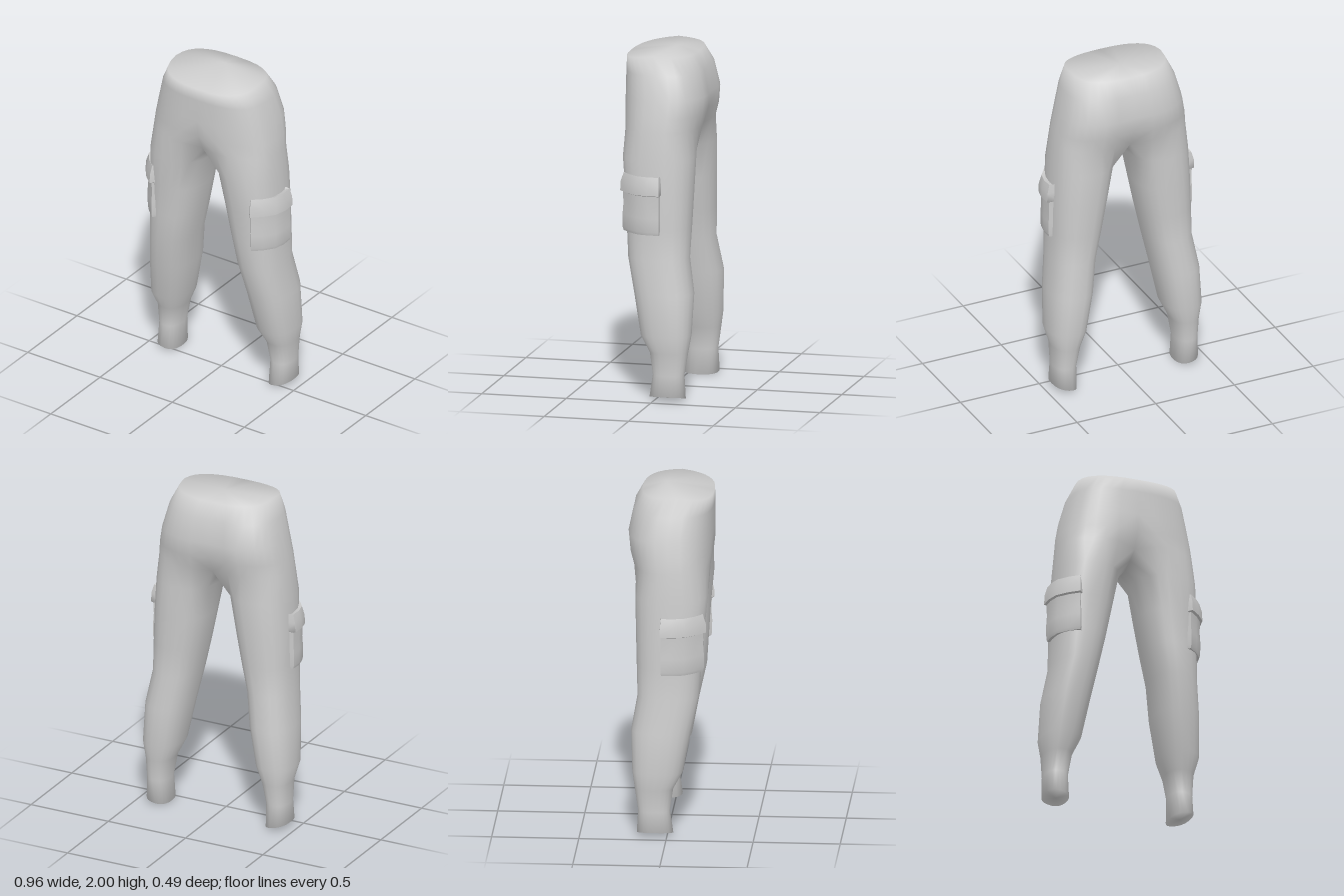
import * as THREE from 'three';
import { mergeVertices, mergeGeometries, toCreasedNormals } from 'three/addons/utils/BufferGeometryUtils.js';

const M = 16;             // segments around the outer side of one half
const K = 4;              // extra points along the inner leg
const SPREAD = Math.PI / 4;

// Rounded-square curve: 0 is the front, a quarter turn is the outer side.
const bend = (v, e) => Math.sign(v) * Math.abs(v) ** e;

// Waist to crotch: y, half width, back z, front z, front dip, back dip
const torsoRows = [
  [1.97, 0.29, -0.165, 0.245, 0, 0],
  [1.88, 0.336, -0.218, 0.245, 0, 0.01],
  [1.74, 0.372, -0.248, 0.245, 0, 0.02],
  [1.64, 0.392, -0.238, 0.245, 0.01, 0.03],
  [1.56, 0.404, -0.216, 0.24, 0.05, 0.05],
];

// Thigh to ankle: y, inner x, outer x, back z, front z
const legRows = [
  [1.40, 0.052, 0.420, -0.193, 0.226],
  [1.20, 0.09, 0.43, -0.188, 0.206],
  [1.00, 0.13, 0.435, -0.182, 0.192],
  [0.82, 0.17, 0.438, -0.176, 0.18],
  [0.62, 0.205, 0.468, -0.21, 0.136],
  [0.38, 0.25, 0.48, -0.202, 0.09],
  [0.28, 0.295, 0.458, -0.187, 0.035],
  [0.15, 0.317, 0.453, -0.167, 0.015],
  [0.015, 0.315, 0.455, -0.175, 0.035],
];

function torsoRing([y, w, zb, zf, frontDip, backDip], isWaist, isCrotch) {
  const ring = [];
  for (let i = 0; i <= M; i++) {
    const t = (i / M) * Math.PI;
    const x = i % M === 0 ? 0 : w * bend(Math.sin(t), 0.75);
    const c = bend(Math.cos(t), 0.75);
    const middle = Math.exp(-((x / 0.08) ** 2));
    const z = (zf + zb) / 2 + c * ((zf - zb) / 2 - middle * (c > 0 ? frontDip : backDip));
    let py = y;
    if (isWaist) py = 1.985 - 0.03 * Math.max(0, c) - 0.012 * Math.max(0, -c);
    if (isCrotch) py -= 0.02 * middle;
    ring.push([x, py, z]);
  }
  return ring;
}

function legRing([y, xin, xout, zb, zf], isHem) {
  const ring = [];
  for (let i = 0; i <= M + K; i++) {
    const t = i <= M
      ? -SPREAD + (i / M) * (Math.PI + 2 * SPREAD)
      : Math.PI + SPREAD + ((i - M) / (K + 1)) * (Math.PI - 2 * SPREAD);
    const s = bend(Math.sin(t), 0.85), c = bend(Math.cos(t), 0.85);
    ring.push([
      (xin + xout) / 2 + (s * (xout - xin)) / 2,
      isHem ? y + 0.014 * s : y,
      (zb + zf) / 2 + (c * (zf - zb)) / 2,
    ]);
  }
  return ring;
}

// Collects triangles and can mirror them in x.
function surface(tris, mirrored) {
  const pos = [];
  for (const tri of tris) {
    const order = mirrored ? [tri[0], tri[2], tri[1]] : tri;
    for (const [x, y, z] of order) pos.push(mirrored ? -x : x, y, z);
  }
  const geo = new THREE.BufferGeometry();
  geo.setAttribute('position', new THREE.Float32BufferAttribute(pos, 3));
  return geo;
}

function loft(rings, closed, tris = []) {
  for (let r = 0; r + 1 < rings.length; r++) {
    const a = rings[r], b = rings[r + 1], n = a.length;
    for (let i = 0; i < (closed ? n : n - 1); i++) {
      const j = (i + 1) % n;
      tris.push([a[i], b[i], b[j]], [a[i], b[j], a[j]]);
    }
  }
  return tris;
}

// One half of the trousers: hip, leg and the two end caps.
function halfTriangles() {
  const hips = torsoRows.map((row, r) => torsoRing(row, r === 0, r === torsoRows.length - 1));
  const tris = loft(hips, false);

  // the crotch seam closes the last hip ring into the top of the leg
  const top = hips[hips.length - 1].slice();
  const front = top[0], back = top[M];
  for (let k = 1; k <= K; k++) {
    const f = k / (K + 1);
    top.push([0, front[1] - 0.075 * Math.sin(f * Math.PI), back[2] + (front[2] - back[2]) * f]);
  }
  const legs = legRows.map((row, r) => legRing(row, r === legRows.length - 1));
  loft([top, ...legs], true, tris);

  const waist = hips[0], hem = legs[legs.length - 1];
  const waistMid = [0, 2, -0.03], hemMid = [0.385, 0.012, -0.07];
  for (let i = 0; i < M; i++) tris.push([waistMid, waist[i], waist[i + 1]]);
  hem.forEach((p, i) => tris.push([hemMid, hem[(i + 1) % hem.length], p]));
  return tris;
}

// Pocket outline in plan (x, z), wrapping from the thigh front to its side
const pocketPath = [
  [0.31, 0.17], [0.345, 0.212], [0.4, 0.163], [0.448, 0.1],
  [0.463, 0.03], [0.46, -0.036], [0.4, -0.04],
];
const bodyRows = [[1.23, 0.97], [1.13, 0.95], [1.07, 0.975], [0.99, 0.97], [0.972, 0.94], [0.975, 0.7]];
const flapRows = [[1.295, 0.7], [1.312, 0.94], [1.26, 1.03], [1.205, 1.045], [1.195, 0.9]];

function pocketTriangles(rows) {
  return loft(rows.map(([y, s]) =>
    pocketPath.map(([x, z]) => [0.3 + (x - 0.3) * s, y, 0.02 + (z - 0.02) * s])), false);
}

export function createModel() {
  const model = new THREE.Group();
  model.name = 'cargoTrousers';
  const cloth = new THREE.MeshStandardMaterial({ color: 0xcccccc });
  cloth.name = 'greyCloth';
  const add = (name, geo) => {
    const mesh = new THREE.Mesh(geo, cloth);
    mesh.name = name;
    model.add(mesh);
  };

  // both halves welded so the shading runs smoothly over the centre seam
  const half = halfTriangles();
  const trousers = mergeVertices(mergeGeometries([surface(half, false), surface(half, true)]), 1e-4);
  trousers.computeVertexNormals();
  add('trousers', trousers);

  // thigh pockets with flaps
  for (const [side, mirrored] of [['left', false], ['right', true]]) {
    add(side + 'PocketBody', toCreasedNormals(surface(pocketTriangles(bodyRows), mirrored), 0.8));
    add(side + 'PocketFlap', toCreasedNormals(surface(pocketTriangles(flapRows), mirrored), 0.8));
  }
  return model;
}
